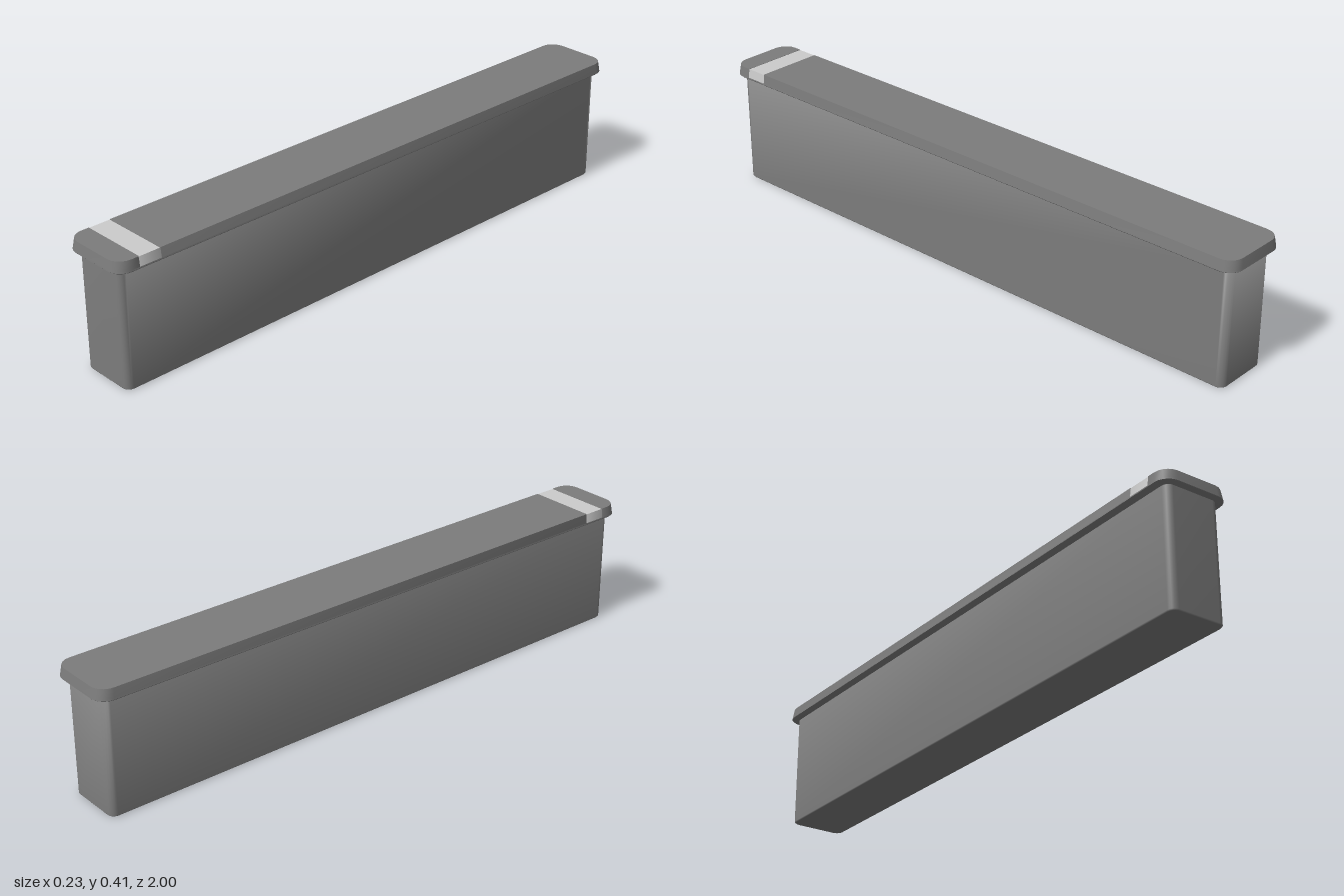
import * as THREE from 'three';
import { toCreasedNormals } from 'three/addons/utils/BufferGeometryUtils.js';

const charcoal = new THREE.MeshStandardMaterial({ color: 0x7c7c7c });
charcoal.name = 'grey';
const pale = new THREE.MeshStandardMaterial({ color: 0xcccccc });
pale.name = 'paleGrey';

// Outline in plan: half width w, from z0 (back) to z1 (front), corner radii r0 and r1
function outline(w, z0, z1, r0, r1, steps = 5) {
  const points = [];
  const corners = [
    [w - r1, z1 - r1, r1, 0], [-w + r1, z1 - r1, r1, 1],
    [-w + r0, z0 + r0, r0, 2], [w - r0, z0 + r0, r0, 3],
  ];
  for (const [cx, cz, r, quarter] of corners) {
    for (let i = 0; i <= steps; i++) {
      const a = (quarter + i / steps) * Math.PI / 2;
      points.push([cx + r * Math.cos(a), cz + r * Math.sin(a)]);
    }
  }
  return points;
}

// Skin stacked outlines, bottom to top, and close both ends
function loft(layers) {
  const n = layers[0].points.length, pos = [], index = [];
  for (const { y, points } of layers) for (const [x, z] of points) pos.push(x, y, z);
  for (let k = 0; k < layers.length - 1; k++) {
    for (let i = 0; i < n; i++) {
      const a = k * n + i, b = k * n + (i + 1) % n;
      index.push(a, a + n, b, b, a + n, b + n);
    }
  }
  const top = (layers.length - 1) * n;
  for (let i = 1; i < n - 1; i++) {
    index.push(0, i, i + 1);
    index.push(top, top + i + 1, top + i);
  }
  const geometry = new THREE.BufferGeometry();
  geometry.setAttribute('position', new THREE.Float32BufferAttribute(pos, 3));
  geometry.setIndex(index);
  geometry.computeVertexNormals();
  return geometry;
}

export function createModel() {
  const group = new THREE.Group();
  const add = (name, geometry, material) => {
    const mesh = new THREE.Mesh(geometry, material);
    mesh.name = name;
    group.add(mesh);
  };

  // Tall narrow body with softly shaded sides
  const bodyLayer = (y, inset) => ({
    y, points: outline(0.092 - inset, -0.976 + inset, 0.978 - inset, 0.022, 0.022),
  });
  add('body', loft([bodyLayer(0, 0.003), bodyLayer(0.004, 0), bodyLayer(0.378, 0)]), charcoal);

  // Lower lip of the lid, overhanging the body
  const lipLayer = (y, inset) => ({
    y, points: outline(0.116 - inset, -1 + inset, 1 - inset, 0.045, 0.045),
  });
  add('lidLip', toCreasedNormals(loft([
    lipLayer(0.375, 0.003), lipLayer(0.378, 0), lipLayer(0.382, 0.0005),
  ]), 0.9), charcoal);

  // Upper lid in three lengths, tapering slightly towards the top
  const lidPart = (name, z0, z1, r0, r1, taper0, taper1, top, w, material) => {
    const layer = (y, t) => ({
      y, points: outline(w - t, z0 + t * taper0, z1 - t * taper1, r0, r1),
    });
    add(name, toCreasedNormals(loft([layer(0.382, 0), layer(top, 0.004)]), 0.6), material);
  };
  lidPart('lidMain', -0.9995, 0.855, 0.045, 0.003, 1, 0, 0.412, 0.1155, charcoal);
  lidPart('lidBand', 0.852, 0.928, 0.001, 0.001, 0, 0, 0.411, 0.115, pale);
  lidPart('lidFront', 0.925, 0.9995, 0.003, 0.045, 0, 1, 0.412, 0.1155, charcoal);
  return group;
}
